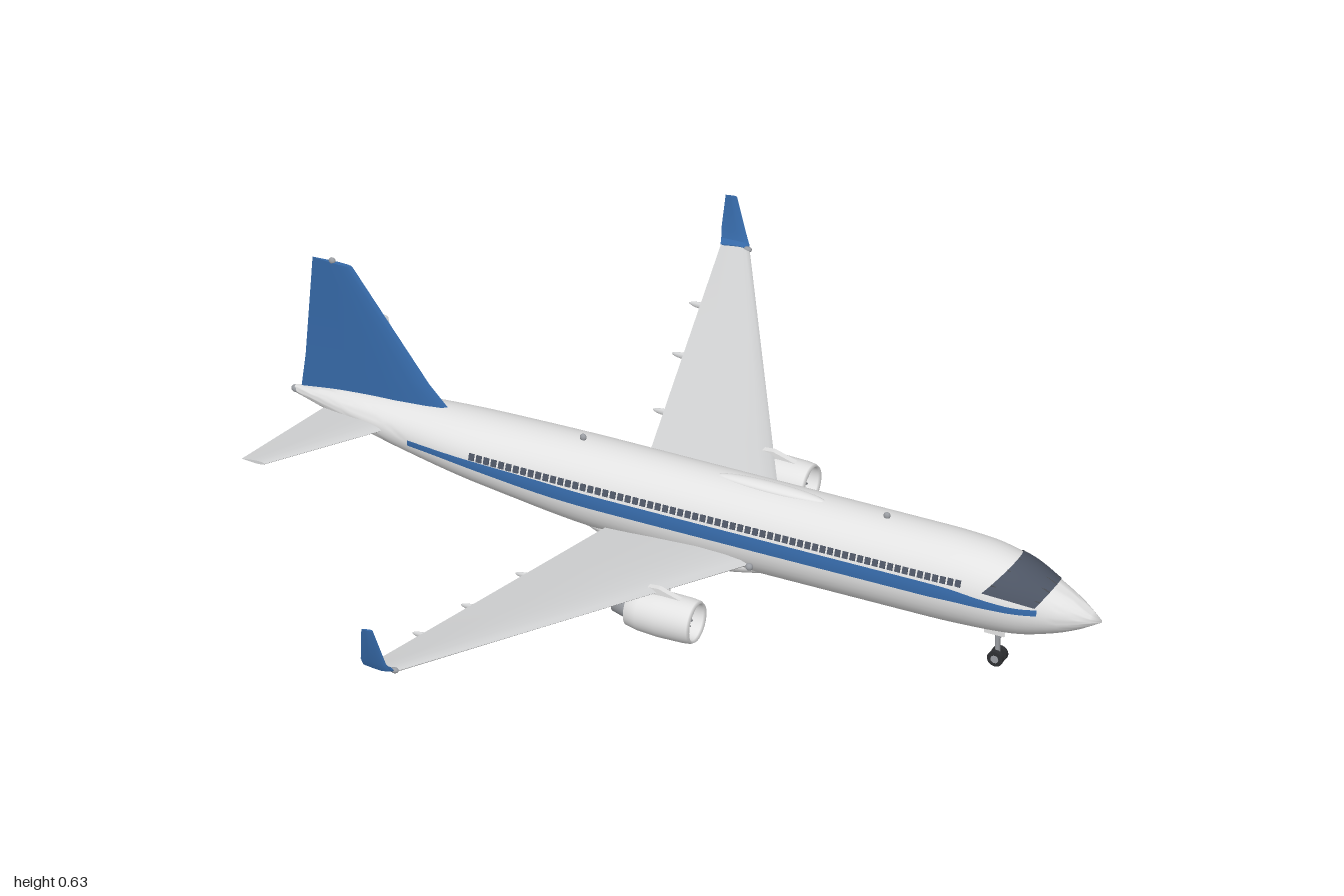
import * as THREE from 'three';
import { mergeGeometries, toCreasedNormals } from 'three/addons/utils/BufferGeometryUtils.js';

const mat = (name, color, side = THREE.FrontSide) => {
  const m = new THREE.MeshStandardMaterial({ color, side });
  m.name = name;
  return m;
};
const V = (x, y, z) => new THREE.Vector3(x, y, z);

// Fuselage stations: x, top, bottom, half width
const STATIONS = [
  [-0.99, 0.262, 0.243, 0.007], [-0.85, 0.288, 0.213, 0.045], [-0.72, 0.3, 0.183, 0.067],
  [-0.5, 0.309, 0.144, 0.092], [-0.2, 0.315, 0.106, 0.101], [0, 0.315, 0.1, 0.102],
  [0.6, 0.315, 0.1, 0.102], [0.7, 0.311, 0.103, 0.1], [0.8, 0.292, 0.109, 0.088],
  [0.89, 0.25, 0.13, 0.06], [0.95, 0.219, 0.153, 0.033], [1, 0.186, 0.18, 0.002],
];
function sample(x, k) {
  const n = STATIONS.length;
  let i = 0;
  while (i < n - 2 && x > STATIONS[i + 1][0]) i++;
  const slope = (j) => (STATIONS[j + 1][k] - STATIONS[j][k]) / (STATIONS[j + 1][0] - STATIONS[j][0]);
  const tangent = (j) => {
    if (j === 0) return slope(0);
    if (j === n - 1) return slope(n - 2);
    const a = slope(j - 1), b = slope(j);
    return a * b <= 0 ? 0 : (2 * a * b) / (a + b);
  };
  const h = STATIONS[i + 1][0] - STATIONS[i][0], t = (x - STATIONS[i][0]) / h;
  const t2 = t * t, t3 = t2 * t;
  return (2 * t3 - 3 * t2 + 1) * STATIONS[i][k] + (t3 - 2 * t2 + t) * h * tangent(i)
    + (3 * t2 - 2 * t3) * STATIONS[i + 1][k] + (t3 - t2) * h * tangent(i + 1);
}
// Point on the hull; angle is measured from the top towards +z
function hull(x, angle, lift = 0) {
  const top = sample(x, 1), bottom = sample(x, 2);
  return V(x, (top + bottom) / 2 + ((top - bottom) / 2 + lift) * Math.cos(angle),
    (sample(x, 3) + lift) * Math.sin(angle));
}
function hullAngle(x, y) {
  const top = sample(x, 1), bottom = sample(x, 2);
  return Math.acos(THREE.MathUtils.clamp((2 * y - top - bottom) / (top - bottom), -1, 1));
}

// Closed skin over equal rings, with end caps, turned to face outward
function loft(rings, crease = 0.7) {
  const n = rings[0].length, tris = [];
  for (let i = 0; i < rings.length - 1; i++) for (let j = 0; j < n; j++) {
    const k = (j + 1) % n, a = rings[i], b = rings[i + 1];
    tris.push([a[j], a[k], b[k]], [a[j], b[k], b[j]]);
  }
  const first = rings[0], last = rings[rings.length - 1];
  for (let j = 1; j < n - 1; j++) tris.push([first[0], first[j + 1], first[j]], [last[0], last[j], last[j + 1]]);
  let volume = 0;
  for (const [a, b, c] of tris) volume += a.dot(b.clone().cross(c));
  const pos = [];
  for (const t of tris) for (const p of volume < 0 ? [t[0], t[2], t[1]] : t) pos.push(p.x, p.y, p.z);
  const g = new THREE.BufferGeometry();
  g.setAttribute('position', new THREE.Float32BufferAttribute(pos, 3));
  return toCreasedNormals(g, crease);
}
// Aerofoil ring between leading and trailing edge points
const FOIL = [[0, 0], [0.04, 0.5], [0.15, 0.85], [0.35, 1], [0.65, 0.65], [1, 0.06]];
function foil(le, te, thick, up) {
  const at = ([u, h], s) => le.clone().lerp(te, u).addScaledVector(up, s * h * thick / 2);
  return [...FOIL.map((f) => at(f, 1)), ...FOIL.slice(1).reverse().map((f) => at(f, -1))];
}
// Open sheet from a function of u and v
function sheet(fn, nu, nv) {
  const pos = [], index = [];
  for (let i = 0; i <= nu; i++) for (let j = 0; j <= nv; j++) pos.push(...fn(i / nu, j / nv).toArray());
  for (let i = 0; i < nu; i++) for (let j = 0; j < nv; j++) {
    const a = i * (nv + 1) + j, b = a + nv + 1;
    index.push(a, a + 1, b + 1, a, b + 1, b);
  }
  const g = new THREE.BufferGeometry();
  g.setAttribute('position', new THREE.Float32BufferAttribute(pos, 3));
  g.setIndex(index);
  g.computeVertexNormals();
  return g;
}

export function createModel() {
  const white = mat('white paint', 0xe2e2e2), grey = mat('wing grey', 0xd2d3d4);
  const blue = mat('blue paint', 0x3568a6), stripeBlue = mat('stripe blue', 0x3568a6, THREE.DoubleSide);
  const glass = mat('dark glass', 0x4c5463, THREE.DoubleSide), metal = mat('metal', 0x9a9da2);
  const dark = mat('dark metal', 0x4a4d52), rubber = mat('rubber', 0x2e2f32);
  const model = new THREE.Group();
  const add = (name, geo, material, x = 0, y = 0, z = 0) => {
    const m = new THREE.Mesh(geo, material);
    m.name = name;
    m.position.set(x, y, z);
    model.add(m);
    return m;
  };
  const blob = (name, material, x, y, z, rx, ry, rz) =>
    add(name, new THREE.SphereGeometry(1, 28, 16), material, x, y, z).scale.set(rx, ry, rz);
  const rod = (name, a, b, r, material) => {
    const m = add(name, new THREE.CylinderGeometry(r, r, a.distanceTo(b), 12), material);
    m.position.copy(a).lerp(b, 0.5);
    m.quaternion.setFromUnitVectors(V(0, 1, 0), b.clone().sub(a).normalize());
  };
  const wheel = (name, x, z, r, w) => {
    add(name, new THREE.CylinderGeometry(r, r, w, 24).rotateX(Math.PI / 2), rubber, x, r, z);
    add(name + 'Hub', new THREE.CylinderGeometry(r * 0.5, r * 0.5, w + 0.003, 16).rotateX(Math.PI / 2), metal, x, r, z);
  };

  // Fuselage, belly fairing, roof dome and tail outlet
  const rings = [];
  for (let i = 0; i <= 90; i++) {
    const x = -0.99 + 1.99 * (i / 90);
    rings.push(Array.from({ length: 40 }, (_, j) => hull(x, j / 40 * Math.PI * 2)));
  }
  add('fuselage', loft(rings, 1), white);
  blob('bellyFairing', white, -0.02, 0.135, 0, 0.275, 0.046, 0.1);
  blob('roofDome', white, 0.185, 0.312, 0, 0.135, 0.012, 0.02);
  blob('tailOutlet', metal, -0.988, 0.252, 0, 0.012, 0.009, 0.009);
  for (const x of [-0.28, 0.47]) blob('roofBeacon', metal, x, 0.319, 0, 0.008, 0.009, 0.006);

  // Windshield wraps over the nose
  add('windshield', sheet((u, v) => {
    const a = (v * 2 - 1) * 1.2, k = Math.abs(v * 2 - 1) ** 2;
    return hull(THREE.MathUtils.lerp(0.795 - 0.05 * k, 0.89 - 0.025 * k, u), a, 0.002);
  }, 10, 40), glass);
  for (const t of [-0.8, -0.4, 0, 0.4, 0.8]) {
    const k = t * t, a = t * 1.2;
    rod('windshieldFrame', hull(0.795 - 0.05 * k, a, 0.002), hull(0.89 - 0.025 * k, a, 0.002), 0.0015, dark);
  }

  // Fin with a blue skin
  add('fin', loft([
    foil(V(-0.6, 0.29, 0), V(-0.975, 0.262, 0), 0.028, V(0, 0, 1)),
    foil(V(-0.66, 0.355, 0), V(-0.965, 0.35, 0), 0.022, V(0, 0, 1)),
    foil(V(-0.85, 0.617, 0), V(-0.948, 0.617, 0), 0.011, V(0, 0, 1)),
  ]), blue);
  blob('finBeacon', metal, -0.9, 0.62, 0, 0.008, 0.008, 0.006);

  const wingY = (z) => 0.158 + (z - 0.1) * 0.108;
  for (const s of [1, -1]) {
    // Wing and upturned tip
    const section = (z, thick) => foil(V(0.22 - 0.56 * z, wingY(z), s * z),
      V(-0.168 - 0.222 * z, wingY(z) - 0.004, s * z), thick, V(0, 1, 0));
    add('wing', loft([section(0.03, 0.042), section(0.3, 0.03), section(0.6, 0.02), section(0.935, 0.012)]), grey);
    const tipUp = (x0, x1, y, z, t, a) =>
      foil(V(x0, y, s * z), V(x1, y - 0.002, s * z), t, V(0, Math.cos(a), -s * Math.sin(a)));
    add('winglet', loft([
      tipUp(-0.304, -0.376, 0.249, 0.935, 0.012, 0), tipUp(-0.312, -0.381, 0.256, 0.95, 0.011, 0.8),
      tipUp(-0.322, -0.384, 0.275, 0.957, 0.009, 1.4), tipUp(-0.35, -0.378, 0.362, 0.967, 0.006, 1.45),
    ]), blue);
    blob('tipLight', metal, -0.31, 0.25, s * 0.937, 0.01, 0.007, 0.007);
    blob('rootLight', metal, 0.18, 0.165, s * 0.108, 0.009, 0.009, 0.008);
    for (const z of [0.365, 0.56, 0.735])
      blob('flapFairing', grey, -0.15 - 0.222 * z, wingY(z) - 0.012, s * z, 0.047, 0.009, 0.006);

    // Tailplane
    add('tailplane', loft([
      foil(V(-0.72, 0.238, s * 0.015), V(-0.905, 0.238, s * 0.015), 0.02, V(0, 1, 0)),
      foil(V(-0.914, 0.267, s * 0.328), V(-0.97, 0.266, s * 0.328), 0.008, V(0, 1, 0)),
    ]), grey);

    // Engine: cowl, fan, spinner, core and pylon
    const ez = s * 0.305, ey = 0.123;
    const lathe = (pts) => new THREE.LatheGeometry(pts.map((p) => new THREE.Vector2(p[1], p[0])), 40).rotateZ(-Math.PI / 2);
    add('engineCowl', lathe([[-0.02, 0.034], [-0.02, 0.044], [0.01, 0.05], [0.06, 0.053], [0.12, 0.052],
      [0.138, 0.05], [0.145, 0.046], [0.138, 0.043], [0.1, 0.043]]), white, 0, ey, ez);
    add('fanDisc', new THREE.CylinderGeometry(0.044, 0.044, 0.006, 32).rotateZ(Math.PI / 2), dark, 0.105, ey, ez);
    const blades = [];
    for (let i = 0; i < 18; i++)
      blades.push(new THREE.BoxGeometry(0.008, 0.032, 0.003).rotateY(0.6).translate(0, 0.026, 0).rotateX(i / 18 * Math.PI * 2));
    add('fanBlades', mergeGeometries(blades), metal, 0.112, ey, ez);
    add('spinner', new THREE.ConeGeometry(0.013, 0.024, 20).rotateZ(-Math.PI / 2), metal, 0.12, ey, ez);
    add('fanOutlet', new THREE.CylinderGeometry(0.04, 0.04, 0.004, 32).rotateZ(Math.PI / 2), dark, -0.015, ey, ez);
    add('engineCore', lathe([[-0.06, 0], [-0.06, 0.021], [-0.02, 0.031], [0, 0.031]]), metal, 0, ey, ez);
    add('exhaustCone', new THREE.ConeGeometry(0.013, 0.03, 20).rotateZ(Math.PI / 2), dark, -0.072, ey, ez);
    const side = new THREE.Shape([[0.125, 0.168], [0.05, 0.192], [-0.1, 0.178], [-0.06, 0.148], [0.04, 0.15]]
      .map((p) => new THREE.Vector2(...p)));
    add('pylon', new THREE.ExtrudeGeometry(side, { depth: 0.014, bevelEnabled: false }), white, 0, 0, ez - 0.007);

    // Main landing gear
    const gz = s * 0.155;
    rod('mainStrut', V(-0.008, 0.024, gz), V(-0.008, 0.165, gz), 0.008, metal);
    rod('mainAxle', V(-0.008, 0.024, gz - 0.02), V(-0.008, 0.024, gz + 0.02), 0.005, metal);
    rod('mainBrace', V(-0.008, 0.09, gz), V(-0.008, 0.135, s * 0.08), 0.004, metal);
    rod('dragBrace', V(-0.008, 0.08, gz), V(-0.045, 0.155, gz), 0.004, metal);
    add('gearDoor', new THREE.BoxGeometry(0.04, 0.075, 0.004), white, -0.008, 0.115, gz + s * 0.012);
    for (const d of [-0.0135, 0.0135]) wheel('mainWheel', -0.008, gz + d, 0.024, 0.015);
    wheel('noseWheel', 0.743, s * 0.011, 0.019, 0.011);

    // Side stripe, narrowing at both ends
    add('stripe', sheet((u, v) => {
      const x = -0.68 + 1.55 * u;
      const mid = 0.236 - 0.014 * THREE.MathUtils.smoothstep(x, -0.65, -0.2) - 0.014 * THREE.MathUtils.smoothstep(x, 0.65, 0.87);
      const half = 0.007 + 0.009 * THREE.MathUtils.smoothstep(x, -0.65, -0.3) - 0.009 * THREE.MathUtils.smoothstep(x, 0.6, 0.85);
      return hull(x, s * hullAngle(x, mid + (v * 2 - 1) * half), 0.002);
    }, 90, 4), stripeBlue);

    // Cabin windows
    const panes = [];
    for (let x = -0.515; x < 0.7; x += 0.0185) {
      const a = hullAngle(x, 0.252), p = hull(x, s * a);
      panes.push(new THREE.BoxGeometry(0.013, 0.016, 0.006).rotateX(-s * (Math.PI / 2 - a)).translate(p.x, p.y, p.z));
    }
    add('cabinWindows', mergeGeometries(panes), glass);
  }

  // Nose landing gear
  rod('noseStrut', V(0.743, 0.019, 0), V(0.743, 0.125, 0), 0.006, metal);
  rod('noseAxle', V(0.743, 0.019, -0.015), V(0.743, 0.019, 0.015), 0.004, metal);
  rod('noseBrace', V(0.743, 0.06, 0), V(0.775, 0.12, 0), 0.003, metal);
  for (const s of [1, -1]) add('noseGearDoor', new THREE.BoxGeometry(0.05, 0.022, 0.003), white, 0.743, 0.098, s * 0.018);
  return model;
}
